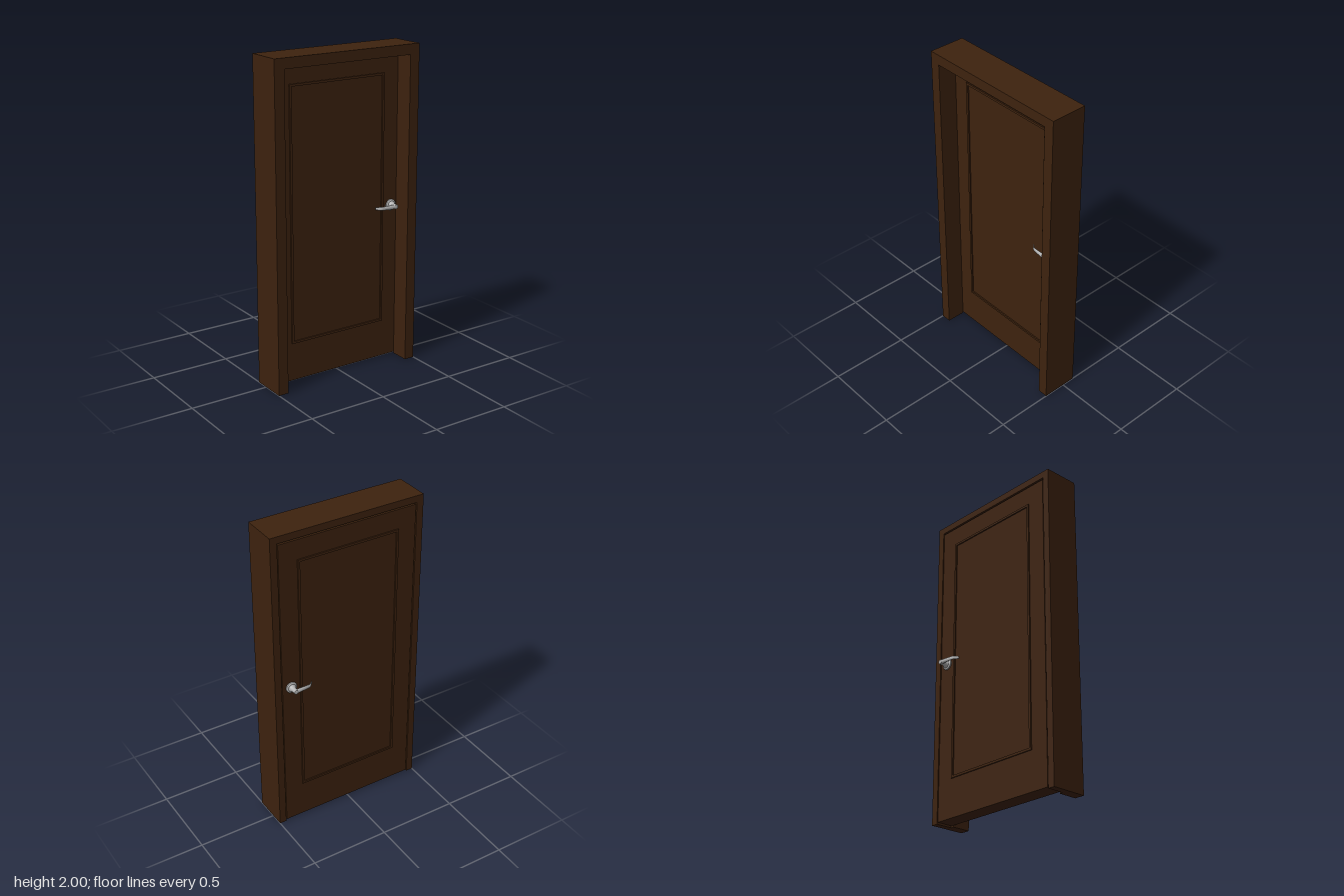
import * as THREE from 'three';

const wood = new THREE.MeshStandardMaterial({ color: 0x3d220e });
wood.name = 'dark brown wood';
const steel = new THREE.MeshStandardMaterial({ color: 0xb4b4b4 });
steel.name = 'brushed steel';

const BACK = -0.085, STOP = 0.025, FRONT = 0.145; // frame depth and door stop
const DOOR_BACK = -0.083;

function part(name, geometry, material) {
  const mesh = new THREE.Mesh(geometry, material);
  mesh.name = name;
  return mesh;
}

function polygon(points) {
  return new THREE.Shape(points.map(([x, y]) => new THREE.Vector2(x, y)));
}

function extrude(shape, z0, z1) {
  return new THREE.ExtrudeGeometry(shape, { depth: z1 - z0, bevelEnabled: false }).translate(0, 0, z0);
}

// Two jambs and a head in one arch-like outline
function frameShape(halfOpening, openingTop) {
  const w = halfOpening, t = openingTop;
  return polygon([[-0.5, 0], [-w, 0], [-w, t], [w, t], [w, 0], [0.5, 0], [0.5, 2], [-0.5, 2]]);
}

// Thin raised rectangular moulding, standing on z = 0
function mouldingGeometry() {
  const rect = (x, y0, y1) => [[-x, y0], [x, y0], [x, y1], [-x, y1]];
  const shape = polygon(rect(0.333, -0.7875, 0.7875));
  shape.holes.push(polygon(rect(0.319, -0.7735, 0.7735)));
  return extrude(shape, -0.002, 0.008);
}

// Lever: elliptical sections [x, z, half height, half thickness] along a bent path
function leverGeometry() {
  const sections = [
    [0.004, 0.053, 0.0135, 0.0105], [-0.02, 0.053, 0.0135, 0.0105],
    [-0.05, 0.0515, 0.0125, 0.008], [-0.09, 0.048, 0.0115, 0.005],
    [-0.1, 0.046, 0.011, 0.0042], [-0.107, 0.040, 0.0105, 0.0035],
    [-0.118, 0.029, 0.0095, 0.0025], [-0.127, 0.021, 0.0075, 0.0012],
  ];
  const n = 16, pos = [], index = [];
  sections.forEach(([x, z, hy, ht], i) => {
    const p = sections[Math.max(i - 1, 0)], q = sections[Math.min(i + 1, sections.length - 1)];
    const t = new THREE.Vector2(q[0] - p[0], q[1] - p[1]).normalize();
    for (let j = 0; j < n; j++) {
      const a = (j / n) * Math.PI * 2, c = Math.cos(a) * ht;
      pos.push(x + t.y * c, Math.sin(a) * hy, z - t.x * c);
    }
  });
  for (let i = 0; i < sections.length - 1; i++) {
    for (let j = 0; j < n; j++) {
      const a = i * n + j, b = i * n + (j + 1) % n;
      index.push(a, b, b + n, a, b + n, a + n);
    }
  }
  // Close the tip
  const last = (sections.length - 1) * n;
  for (let j = 1; j < n - 1; j++) index.push(last, last + j, last + j + 1);
  const g = new THREE.BufferGeometry();
  g.setAttribute('position', new THREE.Float32BufferAttribute(pos, 3));
  g.setIndex(index);
  g.computeVertexNormals();
  return g;
}

function lathe(points) {
  return new THREE.LatheGeometry(points.map(([r, y]) => new THREE.Vector2(r, y)), 32).rotateX(Math.PI / 2);
}

// Rosette, flared neck and lever, pointing out along +z
function makeHandle(name) {
  const handle = new THREE.Group();
  handle.name = name;
  handle.add(
    part('rosette', lathe([[0.035, 0], [0.035, 0.007], [0.035, 0.007], [0.032, 0.011], [0.025, 0.013], [0, 0.013]]), steel),
    part('neck', lathe([[0.026, 0.012], [0.021, 0.018], [0.0165, 0.027], [0.0145, 0.037],
      [0.0145, 0.06], [0.0125, 0.0635], [0, 0.064]]), steel),
    part('lever', leverGeometry(), steel),
  );
  return handle;
}

export function createModel() {
  const model = new THREE.Group();
  model.name = 'door';

  // Frame: narrow opening in front acts as the stop, wider rebate behind
  const frame = new THREE.Group();
  frame.name = 'frame';
  frame.add(
    part('frameFront', extrude(frameShape(0.435, 1.937), STOP, FRONT), wood),
    part('frameRebate', extrude(frameShape(0.456, 1.957), BACK, STOP), wood),
  );
  model.add(frame);

  // Door leaf
  const leaf = part('doorLeaf', new THREE.BoxGeometry(0.9, 1.937, STOP - DOOR_BACK), wood);
  leaf.position.set(0, 0.01 + 1.937 / 2, (STOP + DOOR_BACK) / 2);
  model.add(leaf);

  // Moulding and handle on both faces; the back set is turned about x
  for (const [side, z, turn] of [['front', STOP, 0], ['back', DOOR_BACK, Math.PI]]) {
    const moulding = part(side + 'Moulding', mouldingGeometry(), wood);
    moulding.position.set(0, 1.0375, z);
    moulding.rotation.x = turn;
    const handle = makeHandle(side + 'Handle');
    handle.position.set(0.392, 1, z);
    handle.rotation.x = turn;
    model.add(moulding, handle);
  }
  return model;
}
